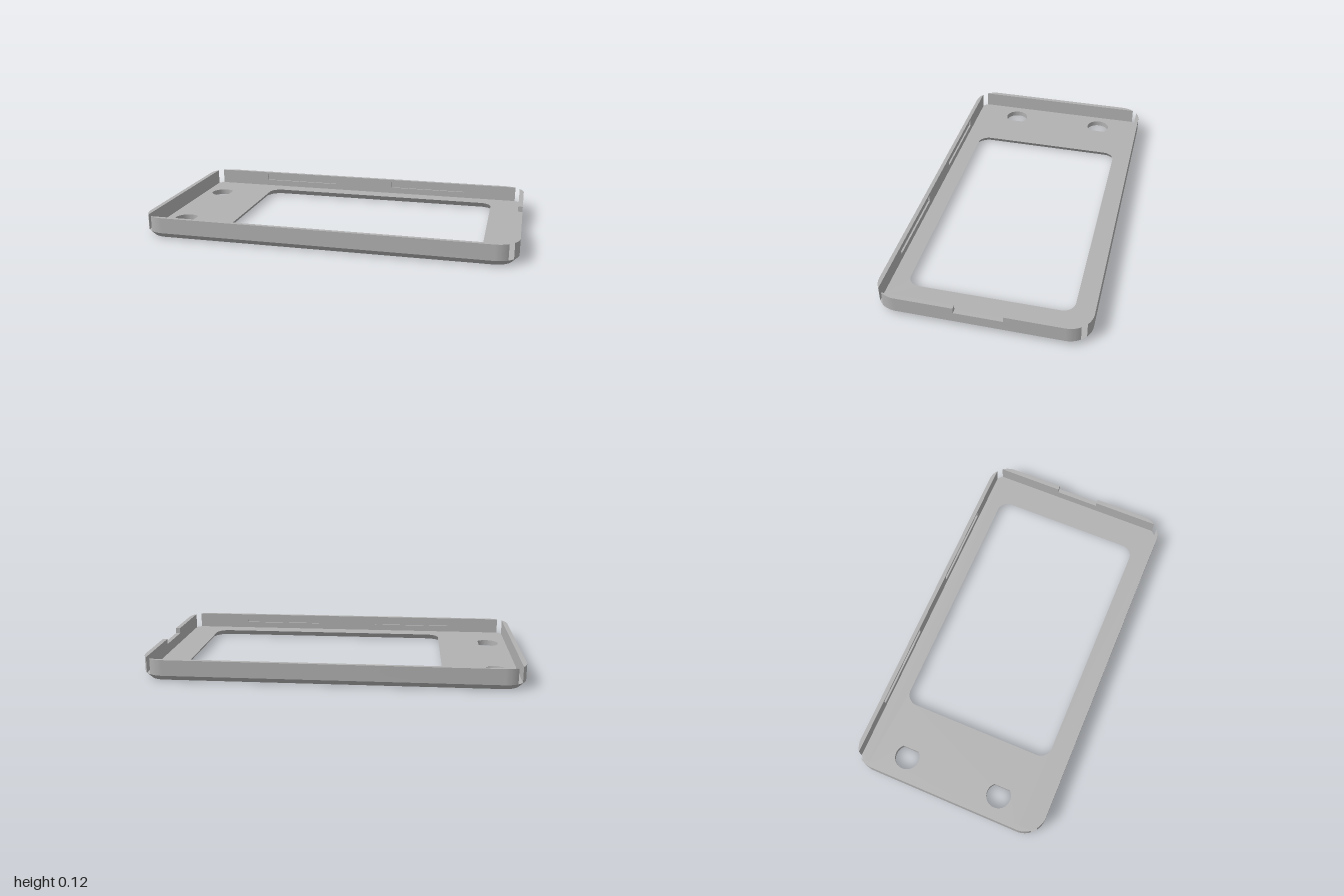
import * as THREE from 'three';
import { mergeGeometries, toCreasedNormals } from 'three/addons/utils/BufferGeometryUtils.js';

const HX = 1, HZ = 0.542, R = 0.12;      // outer half sizes and corner radius
const FLOOR = 0.03, TOP = 0.115;         // floor thickness and rim height
const BEVEL = 0.03;

// Counter-clockwise rounded rectangle as a list of points
function roundedRect(x0, x1, y0, y1, r) {
  const pts = [];
  const corners = [[x1 - r, y0 + r, -90], [x1 - r, y1 - r, 0], [x0 + r, y1 - r, 90], [x0 + r, y0 + r, 180]];
  for (const [cx, cy, start] of corners) {
    for (let i = 0; i <= 12; i++) {
      const a = THREE.MathUtils.degToRad(start + i * 7.5);
      pts.push(new THREE.Vector2(cx + r * Math.cos(a), cy + r * Math.sin(a)));
    }
  }
  return pts;
}

// Circle with a flat cut on its +x side
function flatCircle(cx, cy, r, flat) {
  const a0 = Math.acos(flat / r), pts = [];
  for (let i = 0; i <= 36; i++) {
    const a = a0 + (i / 36) * (2 * Math.PI - 2 * a0);
    pts.push(new THREE.Vector2(cx + r * Math.cos(a), cy + r * Math.sin(a)));
  }
  return pts;
}

// Flat face with holes at a given height
function face(outline, holes, h, down) {
  const shape = new THREE.Shape(outline);
  shape.holes = holes.map((p) => new THREE.Path(p));
  const g = new THREE.ShapeGeometry(shape);
  if (down) {
    const idx = g.index.array;
    for (let i = 0; i < idx.length; i += 3) [idx[i], idx[i + 1]] = [idx[i + 1], idx[i]];
  }
  g.translate(0, 0, h);
  g.deleteAttribute('uv');
  g.deleteAttribute('normal');
  return g;
}

// Band of quads from a low loop to a high loop; inward flips it for openings
function band(low, high, inward) {
  const n = low.length, pos = [], idx = [];
  low.forEach((p) => pos.push(p.x, p.y, 0));
  high.forEach((p) => pos.push(p.x, p.y, FLOOR));
  for (let i = 0; i < n; i++) {
    const j = (i + 1) % n;
    if (inward) idx.push(i, n + j, j, i, n + i, n + j);
    else idx.push(i, j, n + j, i, n + j, n + i);
  }
  const g = new THREE.BufferGeometry();
  g.setAttribute('position', new THREE.Float32BufferAttribute(pos, 3));
  g.setIndex(idx);
  return g;
}

// Wall outline: straight inside with optional recesses, rounded outer ends
function wallOutline(halfLen, halfDepth, inner, recesses = []) {
  const cv = halfDepth - R, cu = halfLen - R;
  const a0 = Math.asin((inner - cv) / R), arc = [];
  for (let i = 0; i <= 10; i++) {
    const a = a0 + (i / 10) * (Math.PI / 2 - a0);
    arc.push(new THREE.Vector2(cu + R * Math.cos(a), cv + R * Math.sin(a)));
  }
  const pts = [];
  for (const [u0, u1] of recesses) {
    for (const [u, v] of [[u0, inner], [u0, inner + 0.01], [u1, inner + 0.01], [u1, inner]]) pts.push(new THREE.Vector2(u, v));
  }
  const left = arc.map((p) => new THREE.Vector2(-p.x, p.y)).reverse();
  return [...pts, ...arc, ...left];
}

function slab(points, y0, y1) {
  const g = new THREE.ExtrudeGeometry(new THREE.Shape(points), { depth: y1 - y0, bevelEnabled: false });
  return g.translate(0, 0, y0);
}

export function createModel() {
  const group = new THREE.Group();
  const plastic = new THREE.MeshStandardMaterial({ color: 0xb2b2b2 });
  plastic.name = 'grey plastic';

  const add = (name, parts, turn = 0) => {
    const geo = toCreasedNormals(mergeGeometries(parts), 0.4);
    geo.rotateX(-Math.PI / 2).rotateY(turn);
    const mesh = new THREE.Mesh(geo, plastic);
    mesh.name = name;
    group.add(mesh);
  };

  // Floor plate with bevelled rim, flared window and two flat-sided holes
  const rimLow = roundedRect(-HX + BEVEL, HX - BEVEL, -HZ + BEVEL, HZ - BEVEL, R - BEVEL);
  const rimHigh = roundedRect(-HX, HX, -HZ, HZ, R);
  const f = 0.022;
  const winLow = roundedRect(-0.577 - f, 0.812 + f, -0.431 - f, 0.431 + f, 0.065 + f);
  const winHigh = roundedRect(-0.577, 0.812, -0.431, 0.431, 0.065);
  const holes = [0.284, -0.262].map((y) => flatCircle(-0.863, y, 0.067, 0.05));
  add('floorPlate', [
    face(rimHigh, [winHigh, ...holes], FLOOR, false),
    face(rimLow, [winLow, ...holes], 0, true),
    band(rimLow, rimHigh, false),
    band(winLow, winHigh, true),
    ...holes.map((h) => band(h, h, true)),
  ]);

  // Long walls, each with two shallow clip recesses inside
  const plain = wallOutline(HX, HZ, 0.52);
  const recessed = wallOutline(HX, HZ, 0.52, [[-0.64, -0.18], [0.18, 0.64]]);
  for (const [name, turn] of [['backWall', 0], ['frontWall', Math.PI]]) {
    add(name, [slab(plain, FLOOR, 0.065), slab(recessed, 0.065, 0.103), slab(plain, 0.103, TOP)], turn);
  }

  // End walls; the left one has a notch in its rim
  const end = wallOutline(HZ, HX, 0.975);
  add('rightEndWall', [slab(end, FLOOR, TOP)], Math.PI / 2);
  const half = end.filter((p) => p.x > 0);
  const notch = 0.124;
  const rimA = [new THREE.Vector2(notch, 0.975), ...half, new THREE.Vector2(notch, HX)];
  const rimB = rimA.map((p) => new THREE.Vector2(-p.x, p.y)).reverse();
  add('leftEndWall', [slab(end, FLOOR, 0.085), slab(rimA, 0.085, TOP), slab(rimB, 0.085, TOP)], -Math.PI / 2);

  return group;
}
